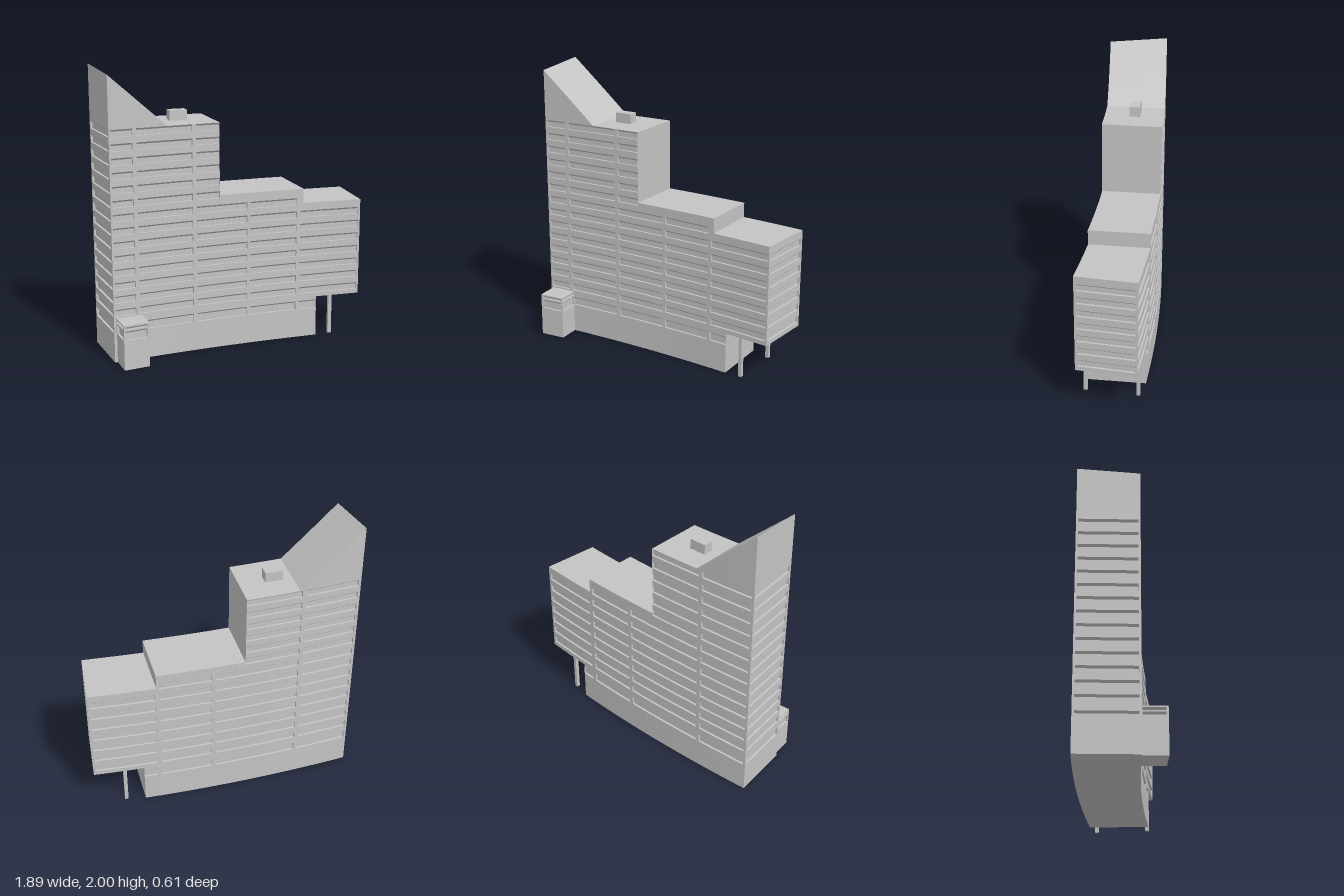
import * as THREE from 'three';

const CUT1 = -0.14, CUT2 = 0.48, BASE_END = 0.59, SLOPE = -0.51; // x of the steps in the massing
const TOWER = 1.61, MIDDLE = 1.105, WING = 1.0, SOFFIT = 0.295;  // heights
const XF = 0.912, XB = 0.947;                                    // half widths, front and back
const zFront = x => 0.105 + 0.04 * (x / XF) ** 2;
const zBack = x => -0.31 + 0.04 * (x / XB) ** 2;

// Window rows as [sill, head]
const ROWS = [[0.21, 0.272]];
for (let k = 0; k < 14; k++) ROWS.push([0.327 + k * 0.0947, 0.376 + k * 0.0947]);

const towerTop = x => TOWER + 0.886 * Math.max(0, SLOPE - x);
const topAt = (x, mid) => (mid < CUT1 ? towerTop(x) : mid < CUT2 ? MIDDLE : WING);
const bottomAt = mid => (mid > BASE_END ? SOFFIT : 0);

// Collects quads whose corners run counter-clockwise seen from outside
class Quads {
  constructor() { this.p = []; }
  add(a, b, c, d) { this.p.push(...a, ...b, ...c, ...a, ...c, ...d); }
  mesh(name, material) {
    const g = new THREE.BufferGeometry();
    g.setAttribute('position', new THREE.Float32BufferAttribute(this.p, 3));
    g.computeVertexNormals();
    const m = new THREE.Mesh(g, material);
    m.name = name;
    return m;
  }
}

// Wall along path(u) -> [x, z], left to right seen from outside.
// cols: [start, end, highest window head]; windows are recessed under a sloping head.
function wall(path, cols, rows, bottom, top, steps) {
  const q = new Quads(), DEPTH = 0.015, DROP = 0.013, e = 1e-3;
  const point = (u, y, depth = 0) => {
    const [x, z] = path(u), [x0, z0] = path(u - e), [x1, z1] = path(u + e);
    const l = Math.hypot(x1 - x0, z1 - z0);
    return [x + depth * (z1 - z0) / l, y, z - depth * (x1 - x0) / l];
  };
  const mid = c => path((c[0] + c[1]) / 2)[0];
  const has = (c, r) => c && r[1] <= c[2] && r[0] >= bottom(mid(c)) && r[1] <= top(mid(c), mid(c));
  cols.forEach((c, i) => {
    const m = mid(c), n = Math.max(1, Math.ceil((c[1] - c[0]) * steps));
    const strip = (y0, d0, y1, d1) => {
      for (let k = 0; k < n; k++) {
        const u = c[0] + (c[1] - c[0]) * k / n, v = c[0] + (c[1] - c[0]) * (k + 1) / n;
        q.add(point(u, y0(u), d0), point(v, y0(v), d0), point(v, y1(v), d1), point(u, y1(u), d1));
      }
    };
    let y = bottom(m);
    for (const r of rows.filter(r => has(c, r))) {
      const start = y, [s, h] = r;
      strip(() => start, 0, () => s, 0);
      strip(() => s, 0, () => s, DEPTH);               // sill
      strip(() => s, DEPTH, () => h - DROP, DEPTH);    // pane
      strip(() => h - DROP, DEPTH, () => h, 0);        // sloping head
      const [a, b] = c;                                // jambs
      if (!has(cols[i - 1], r)) q.add(point(a, s), point(a, s, DEPTH), point(a, h - DROP, DEPTH), point(a, h));
      if (!has(cols[i + 1], r)) q.add(point(b, s, DEPTH), point(b, s), point(b, h), point(b, h - DROP, DEPTH));
      y = h;
    }
    strip(() => y, 0, u => top(path(u)[0], m), 0);
  });
  return q;
}

// Horizontal or sloping surface between the front and back curves
function deck([fa, fb], [ba, bb], height, down = false) {
  const q = new Quads(), n = 8, mix = THREE.MathUtils.lerp;
  const F = t => { const x = mix(fa, fb, t); return [x, height(x), zFront(x)]; };
  const B = t => { const x = mix(ba, bb, t); return [x, height(x), zBack(x)]; };
  for (let i = 0; i < n; i++) {
    const s = i / n, t = (i + 1) / n;
    if (down) q.add(B(s), B(t), F(t), F(s));
    else q.add(F(s), F(t), B(t), B(s));
  }
  return q;
}

// Flat cross wall facing +x
function crossWall(x, y0, y1) {
  const q = new Quads(), f = zFront(x), b = zBack(x);
  q.add([x, y0, f], [x, y0, b], [x, y1, b], [x, y1, f]);
  return q;
}

export function createModel() {
  const group = new THREE.Group();
  group.name = 'officeTower';
  const concrete = new THREE.MeshStandardMaterial({ color: 0xc4c4c4 });
  concrete.name = 'light grey concrete';
  const add = (q, name) => group.add(q.mesh(name, concrete));
  const line = (a, b) => t => [a[0] + (b[0] - a[0]) * t, a[1] + (b[1] - a[1]) * t];

  // Curved long facades
  const frontCols = [
    [-XF, -0.9, 0], [-0.9, -0.752, 9], [-0.752, -0.725, 0], [-0.725, SLOPE, 9], [SLOPE, -0.335, 9],
    [-0.335, -0.307, 0], [-0.307, CUT1, 9], [CUT1, 0.062, 9], [0.062, 0.085, 0], [0.085, 0.432, 9],
    [0.432, 0.458, 0], [0.458, CUT2, 1], [CUT2, BASE_END, 9], [BASE_END, 0.897, 9], [0.897, XF, 0]];
  const backCols = [
    [-XB, -0.93, 0], [-0.93, -0.555, 9], [-0.555, -0.527, 0], [-0.527, SLOPE, 9], [SLOPE, CUT1, 9],
    [CUT1, 0.068, 9], [0.068, 0.095, 0], [0.095, 0.46, 9], [0.46, CUT2, 0], [CUT2, 0.492, 0],
    [0.492, BASE_END, 9], [BASE_END, 0.93, 9], [0.93, XB, 0]];
  add(wall(x => [x, zFront(x)], frontCols, ROWS, bottomAt, topAt, 10), 'frontFacade');
  add(wall(u => [-u, zBack(-u)], backCols.map(([a, b, w]) => [-b, -a, w]).reverse(),
    ROWS, bottomAt, topAt, 10), 'backFacade');

  // End walls
  const endCols = [[0, 0.035, 0], [0.035, 0.965, 9], [0.965, 1, 0]];
  add(wall(line([-XB, zBack(XB)], [-XF, zFront(XF)]), endCols, ROWS, bottomAt, topAt, 1), 'towerEndWall');
  add(wall(line([XF, zFront(XF)], [XB, zBack(XB)]), endCols, ROWS, bottomAt, topAt, 1), 'wingEndWall');

  // Roofs, steps and undersides
  add(deck([-XF, SLOPE], [-XB, SLOPE], towerTop), 'slopingRoof');
  add(deck([SLOPE, CUT1], [SLOPE, CUT1], () => TOWER), 'towerRoof');
  add(deck([CUT1, CUT2], [CUT1, CUT2], () => MIDDLE), 'middleRoof');
  add(deck([CUT2, XF], [CUT2, XB], () => WING), 'wingRoof');
  add(deck([BASE_END, XF], [BASE_END, XB], () => SOFFIT, true), 'wingUnderside');
  add(deck([-XF, BASE_END], [-XB, BASE_END], () => 0, true), 'baseUnderside');
  add(crossWall(CUT1, MIDDLE, TOWER), 'towerSideWall');
  add(crossWall(CUT2, WING, MIDDLE), 'middleSideWall');
  add(crossWall(BASE_END, 0, SOFFIT), 'baseSideWall');

  // Entrance block
  const H = 0.315, P = [[-0.894, 0.135], [-0.883, 0.303], [-0.703, 0.284], [-0.713, 0.115]];
  const slots = [[0.21, 0.275], [0.286, 0.304]];
  const blockCols = [[0, 0.08, 0], [0.08, 0.92, 9], [0.92, 1, 0]];
  ['Left', 'Front', 'Right'].forEach((side, i) =>
    add(wall(line(P[i], P[i + 1]), blockCols, slots, () => 0, () => H, 1), 'entrance' + side + 'Wall'));
  const caps = new Quads();
  const at = y => P.map(([x, z]) => [x, y, z]);
  caps.add(...[1, 2, 3, 0].map(i => at(H)[i]));
  caps.add(...[0, 3, 2, 1].map(i => at(0)[i]));
  add(caps, 'entranceRoofAndFloor');

  // Rooftop box and the two columns under the wing
  const box = (name, w, h, d, x, y, z, turn = 0) => {
    const m = new THREE.Mesh(new THREE.BoxGeometry(w, h, d), concrete);
    m.name = name;
    m.position.set(x, y + h / 2, z);
    m.rotation.y = turn;
    group.add(m);
  };
  box('rooftopPlantRoom', 0.122, 0.07, 0.074, -0.378, TOWER, -0.102);
  box('frontColumn', 0.025, SOFFIT, 0.025, 0.703, 0, 0.108, -0.06);
  box('backColumn', 0.025, SOFFIT, 0.025, 0.724, 0, -0.256, -0.06);
  return group;
}
